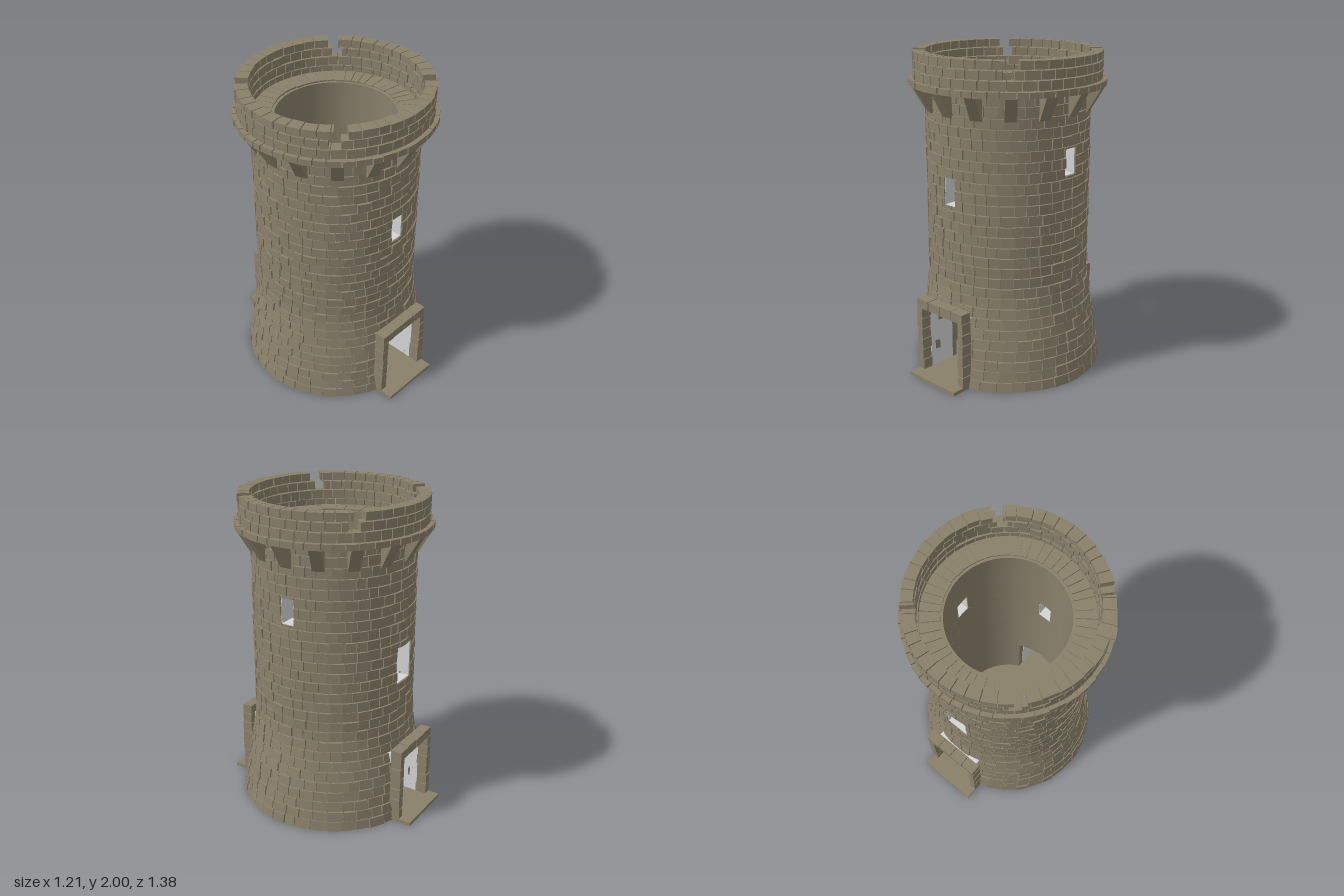
import * as THREE from 'three';
import { mergeGeometries, toCreasedNormals } from 'three/addons/utils/BufferGeometryUtils.js';

const stone = new THREE.MeshStandardMaterial({ color: 0x8a806b });
stone.name = 'stone';
const plaster = new THREE.MeshStandardMaterial({ color: 0xd4d4d4 });
plaster.name = 'paleReveal';

let seed = 7;
const rnd = () => (seed = (seed * 16807) % 2147483647) / 2147483647;
const jit = (s) => (rnd() - 0.5) * 2 * s;

// Door and window openings: direction a, half width hw, height range
const openings = [
  { name: 'frontDoor', a: 0, hw: 0.161, y0: 0.02, y1: 0.444, door: true },
  { name: 'backDoor', a: Math.PI, hw: 0.161, y0: 0.02, y1: 0.444, door: true },
  { name: 'frontWindow', a: 0, hw: 0.045, y0: 1.115, y1: 1.29 },
  { name: 'sideWindow', a: Math.PI / 2, hw: 0.045, y0: 1.3, y1: 1.465 },
  { name: 'backWindow', a: Math.PI, hw: 0.08, y0: 0.88, y1: 1.12 },
];

// Outer radius of the flared shaft
const profile = [[0, 0.6], [0.12, 0.583], [0.28, 0.56], [0.45, 0.53], [0.56, 0.514], [0.65, 0.509], [2, 0.506]];
function outer(y) {
  const i = Math.max(1, profile.findIndex((p) => p[0] >= y));
  const [ya, ra] = profile[i - 1], [yb, rb] = profile[i];
  return ra + (rb - ra) * (y - ya) / (yb - ya);
}

// Curved block between two edges; an edge { a, w } lies w sideways of direction a
function block(s, e, rin, r0, r1, y0, y1, n = 1) {
  const at = (edge, r) => edge.a + Math.asin(edge.w / r);
  const pos = [], idx = [];
  const quad = (a, b, c, d) => idx.push(a, b, c, a, c, d);
  for (let i = 0; i <= n; i++) {
    for (const [r, y] of [[rin, y0], [r0, y0], [r1, y1], [rin, y1]]) {
      const a = at(s, r) + (at(e, r) - at(s, r)) * i / n;
      pos.push(r * Math.sin(a), y, r * Math.cos(a));
    }
  }
  for (let i = 0; i < n; i++) {
    for (let k = 0; k < 4; k++) {
      const m = (k + 1) % 4, o = i * 4;
      quad(o + k, o + 4 + k, o + 4 + m, o + m);
    }
  }
  const l = n * 4;
  quad(0, 1, 2, 3);
  quad(l + 3, l + 2, l + 1, l);
  const g = new THREE.BufferGeometry();
  g.setAttribute('position', new THREE.Float32BufferAttribute(pos, 3));
  g.setIndex(idx);
  const flat = g.toNonIndexed();
  flat.computeVertexNormals();
  return flat;
}

// Blocks for a stretch of wall, cut around the openings
function wall(out, s, e, rin, r0, r1, y0, y1, step = 1) {
  const near = openings.filter((o) => {
    const h = Math.asin(o.hw / r0);
    return o.y0 < y1 && o.y1 > y0 && o.a - h < e && o.a + h > s;
  });
  const cuts = [y0, y1, ...near.flatMap((o) => [o.y0, o.y1])].filter((y) => y >= y0 && y <= y1);
  const ys = [...new Set(cuts)].sort((a, b) => a - b);
  for (let i = 0; i + 1 < ys.length; i++) {
    const [a, b] = [ys[i], ys[i + 1]];
    if (b - a < 0.004) continue;
    const holes = near.filter((o) => o.y0 < b && o.y1 > a).sort((p, q) => p.a - q.a);
    const edges = [{ a: s, w: 0 }, ...holes.flatMap((o) => [{ a: o.a, w: -o.hw }, { a: o.a, w: o.hw }]), { a: e, w: 0 }];
    const mix = (y) => r0 + (r1 - r0) * (y - y0) / (y1 - y0);
    for (let k = 0; k < edges.length; k += 2) {
      const [p, q] = [edges[k], edges[k + 1]];
      const span = q.a + Math.asin(q.w / r0) - p.a - Math.asin(p.w / r0);
      if (span < 0.012) continue;
      out.push(block(p, q, rin, mix(a), mix(b), a, b, Math.ceil(span / step)));
    }
  }
}

// One ring of uneven stones; place(s, e) adds each stone
function course(count, place) {
  const cell = 2 * Math.PI / count, shift = rnd() * cell;
  const ends = Array.from({ length: count }, (_, i) => -Math.PI / 2 + shift * 0.5 + i * cell + jit(cell * 0.17));
  ends.push(ends[0] + 2 * Math.PI);
  for (let i = 0; i < count; i++) place(ends[i] + 0.005, ends[i + 1] - 0.005);
}

export function createModel() {
  seed = 7;
  const model = new THREE.Group();
  const add = (name, geo, mat = stone, parent = model) => {
    const m = new THREE.Mesh(geo, mat);
    m.name = name;
    parent.add(m);
    return m;
  };
  const box = (x0, x1, y0, y1, z0, z1) => new THREE.BoxGeometry(x1 - x0, y1 - y0, z1 - z0)
    .translate((x0 + x1) / 2, (y0 + y1) / 2, (z0 + z1) / 2);

  // Smooth inner wall behind the stones
  const core = [];
  const levels = [0, 0.02, 0.12, 0.28, 0.45, 0.56, 0.65, 1.785];
  for (let i = 0; i + 1 < levels.length; i++) {
    const [a, b] = [levels[i], levels[i + 1]];
    wall(core, -Math.PI / 2, Math.PI * 1.5, 0.36, outer(a) - 0.014, outer(b) - 0.014, a, b, 0.09);
  }
  add('innerWall', toCreasedNormals(mergeGeometries(core), 0.4));
  add('floor', new THREE.CylinderGeometry(0.365, 0.365, 0.018, 64).translate(0, 0.009, 0));

  // Shaft stones, the top course reaching inward as a walkway
  const stones = [], rows = 28, h = 1.8 / rows;
  for (let i = 0; i < rows; i++) {
    const y0 = i * h, top = i === rows - 1;
    course(top ? 48 : 40, (s, e) => {
      const d = jit(0.004);
      const r0 = outer(y0) + d, r1 = outer(y0 + h) + d + jit(0.002);
      wall(stones, s, e, top ? 0.375 + jit(0.003) : r1 - 0.07, r0, r1, y0 + 0.001, y0 + h - 0.005 + jit(0.0015));
    });
  }
  add('shaftStones', mergeGeometries(stones));

  // Slanted brackets under the parapet
  const side = new THREE.Shape([[0.48, 1.65], [0.512, 1.65], [0.598, 1.795], [0.48, 1.795]].map((p) => new THREE.Vector2(...p)));
  const bracket = new THREE.ExtrudeGeometry(side, { depth: 0.07, bevelEnabled: false }).translate(0, 0, -0.035);
  for (let i = 0; i < 16; i++) add('bracket', bracket).rotation.y = i * Math.PI / 8;

  // Ledge ring and three parapet courses with a stepped notch on each diagonal
  const ledge = [], parapet = [];
  course(48, (s, e) => {
    const r = 0.602 + jit(0.003);
    ledge.push(block({ a: s, w: 0 }, { a: e, w: 0 }, 0.495, r, r, 1.795, 1.832 + jit(0.002)));
  });
  add('ledge', mergeGeometries(ledge));
  [[1.834, 1.889], [1.895, 1.946], [1.952, 2]].forEach(([y0, y1], row) => {
    course(44, (s, e) => {
      const r = 0.577 + jit(0.003), rin = 0.502 + jit(0.004);
      const parts = [[s, e]];
      if (row > 0) {
        for (let q = -1; q < 4; q++) {
          const c = Math.PI / 4 + q * Math.PI / 2 + (row === 1 ? -0.025 : 0.025);
          for (const p of parts.splice(0)) {
            parts.push([p[0], Math.min(p[1], c - 0.06)], [Math.max(p[0], c + 0.06), p[1]]);
          }
        }
      }
      for (const [a, b] of parts) {
        if (b - a > 0.012) parapet.push(block({ a, w: 0 }, { a: b, w: 0 }, rin, r, r, y0, y1 - (row < 2 ? rnd() * 0.002 : 0)));
      }
    });
  });
  add('parapet', mergeGeometries(parapet));

  // Reveals of each opening, plus stone frame and threshold for doors
  for (const o of openings) {
    const g = new THREE.Group();
    g.name = o.name;
    g.rotation.y = o.a;
    model.add(g);
    const t = 0.004, z0 = 0.36, z1 = o.door ? 0.545 : 0.497;
    add('leftReveal', box(o.hw - t, o.hw, o.y0, o.y1, z0, z1), plaster, g);
    add('rightReveal', box(-o.hw, t - o.hw, o.y0, o.y1, z0, z1), plaster, g);
    add('topReveal', box(-o.hw, o.hw, o.y1 - t, o.y1, z0, z1), plaster, g);
    if (!o.door) {
      add('sill', box(-o.hw, o.hw, o.y0, o.y0 + t, z0, z1), plaster, g);
      continue;
    }
    add('threshold', box(-0.2, 0.2, 0, 0.022, 0.4, 0.688), stone, g);
    for (const s of [-1, 1]) {
      for (let i = 0; i < 6; i++) {
        const a = 0.157 + jit(0.002), b = 0.2 + jit(0.003), y = 0.022 + i * 0.07;
        add('jambStone', box(Math.min(s * a, s * b), Math.max(s * a, s * b), y, y + 0.066, 0.54, 0.61 + jit(0.003)), stone, g);
      }
    }
    for (let i = 0; i < 4; i++) {
      add('lintelStone', box(-0.2 + i * 0.1, -0.104 + i * 0.1, 0.44, 0.498 + jit(0.003), 0.54, 0.61 + jit(0.003)), stone, g);
    }
  }
  return model;
}
